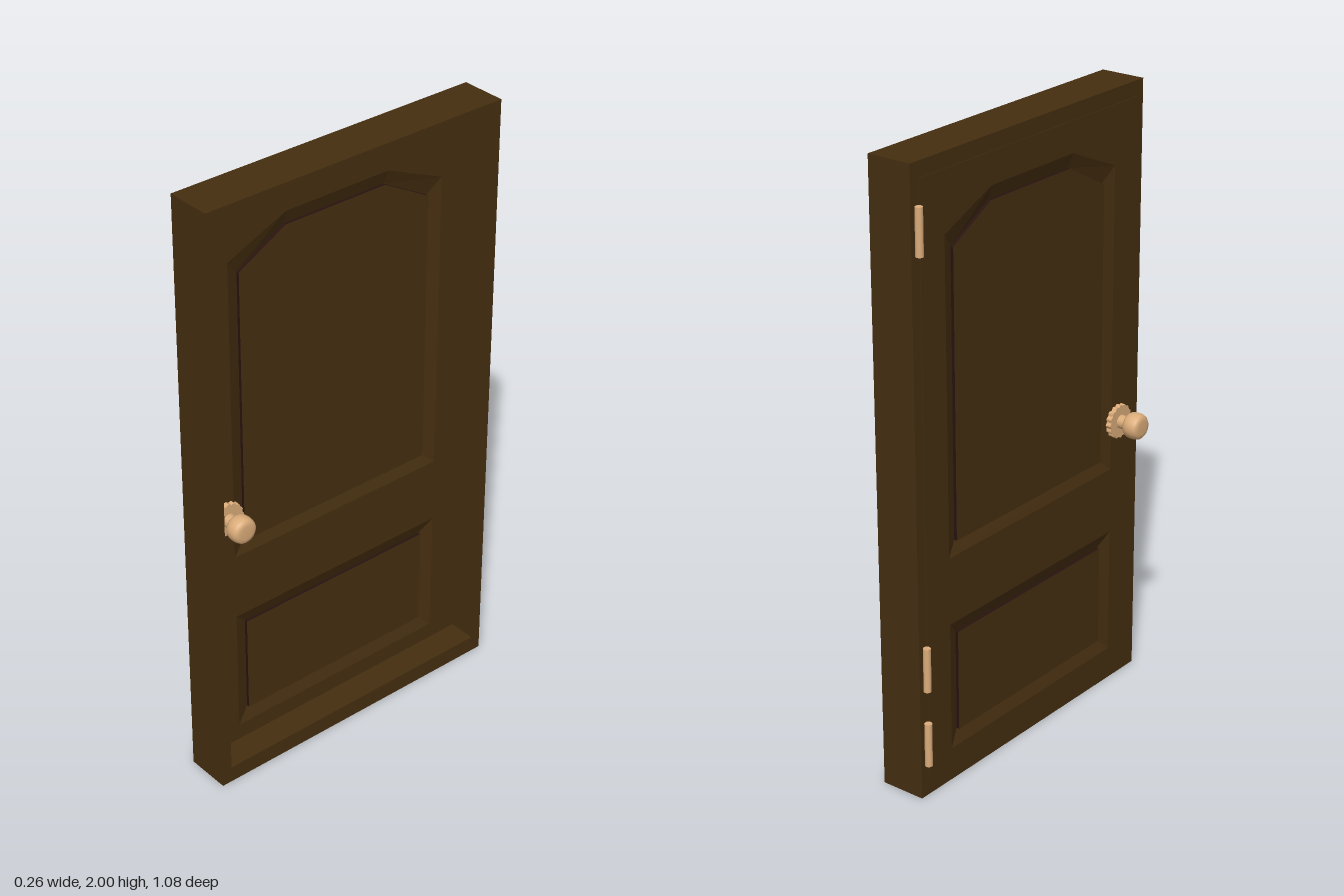
import * as THREE from 'three';

const wood = new THREE.MeshStandardMaterial({ color: 0x452e10 });
wood.name = 'dark wood';
const groove = new THREE.MeshStandardMaterial({ color: 0x28120f });
groove.name = 'groove shadow brown';
const brass = new THREE.MeshStandardMaterial({ color: 0xdbac7a });
brass.name = 'pale brass';

// Outlines run counter-clockwise in (u, y)
const rect = (w, y0, y1) => [[-w, y0], [w, y0], [w, y1], [-w, y1]];
const arched = (w, y0, shoulder, topW, y1) =>
  [[-w, y0], [w, y0], [w, shoulder], [topW, y1], [-topW, y1], [-w, shoulder]];
const points = (outline) => outline.map(([u, y]) => new THREE.Vector2(u, y));

// Slab between two depths, with optional openings
function slab(outline, d0, d1, holes = []) {
  const shape = new THREE.Shape(points(outline));
  for (const h of holes) shape.holes.push(new THREE.Path(points(h)));
  return new THREE.ExtrudeGeometry(shape, { depth: d1 - d0, bevelEnabled: false }).translate(0, 0, d0);
}

// Sloped moulding joining an outer and an inner outline
function moulding(outer, inner, dOuter, dInner) {
  const pos = [];
  outer.forEach((a, i) => {
    const j = (i + 1) % outer.length;
    const A = [...a, dOuter], B = [...outer[j], dOuter];
    const C = [...inner[j], dInner], D = [...inner[i], dInner];
    pos.push(...A, ...B, ...C, ...A, ...C, ...D);
  });
  const g = new THREE.BufferGeometry();
  g.setAttribute('position', new THREE.Float32BufferAttribute(pos, 3));
  g.computeVertexNormals();
  return g;
}

function add(parent, name, geometry, material) {
  const mesh = new THREE.Mesh(geometry, material);
  mesh.name = name;
  parent.add(mesh);
  return mesh;
}

// Knob with scalloped rose, pointing along local +z from the door face
function makeKnob() {
  const knob = new THREE.Group();
  knob.name = 'knob';
  const rose = new THREE.Shape();
  const n = 96;
  for (let i = 0; i < n; i++) {
    const a = (i / n) * Math.PI * 2;
    const r = 0.0535 + 0.0025 * Math.cos(a * 16);
    if (i) rose.lineTo(r * Math.cos(a), r * Math.sin(a));
    else rose.moveTo(r, 0);
  }
  add(knob, 'rose', new THREE.ExtrudeGeometry(rose, { depth: 0.018, bevelEnabled: false }).translate(0, 0, 0.028), brass);
  add(knob, 'stem', new THREE.CylinderGeometry(0.022, 0.022, 0.045, 24).rotateX(Math.PI / 2).translate(0, 0, 0.06), brass);
  const profile = [[0, 0.073], [0.025, 0.073], [0.035, 0.077], [0.041, 0.086], [0.043, 0.1],
    [0.042, 0.113], [0.039, 0.123], [0.033, 0.129], [0.022, 0.131], [0, 0.131]];
  add(knob, 'grip', new THREE.LatheGeometry(points(profile), 32).rotateX(Math.PI / 2), brass);
  return knob;
}

export function createModel() {
  const model = new THREE.Group();
  model.name = 'door';

  // Everything flat is built facing +z, then turned to face +x
  const body = new THREE.Group();
  body.name = 'doorBody';
  body.rotation.y = Math.PI / 2;
  model.add(body);

  const opening = rect(0.505, 0.055, 1.95);
  add(body, 'frame', slab(rect(0.54, 0, 2), -0.028, 0.122, [opening]), wood);

  const panels = [
    { name: 'upperPanel', outer: arched(0.4, 0.755, 1.76, 0.19, 1.85), inner: arched(0.355, 0.795, 1.71, 0.185, 1.803) },
    { name: 'lowerPanel', outer: rect(0.4, 0.11, 0.535), inner: rect(0.355, 0.155, 0.49) },
  ];
  add(body, 'leaf', slab(opening, -0.03, 0.03, panels.map((p) => p.outer)), wood);
  for (const p of panels) {
    add(body, p.name, slab(p.inner, -0.023, 0.023), [wood, groove]);
    for (const turn of [0, Math.PI]) {
      add(body, p.name + 'Moulding', moulding(p.outer, p.inner, 0.03, 0.013), wood).rotation.y = turn;
    }
  }

  // A knob on each face
  for (const side of [1, -1]) {
    const knob = makeKnob();
    knob.position.set(0, 0.915, 0.43);
    knob.rotation.y = side * Math.PI / 2;
    model.add(knob);
  }

  // Hinge barrels
  for (const y of [0.183, 0.438, 1.803]) {
    const hinge = add(model, 'hinge', new THREE.CylinderGeometry(0.012, 0.012, 0.145, 16), brass);
    hinge.position.set(-0.039, y, -0.518);
  }
  return model;
}
